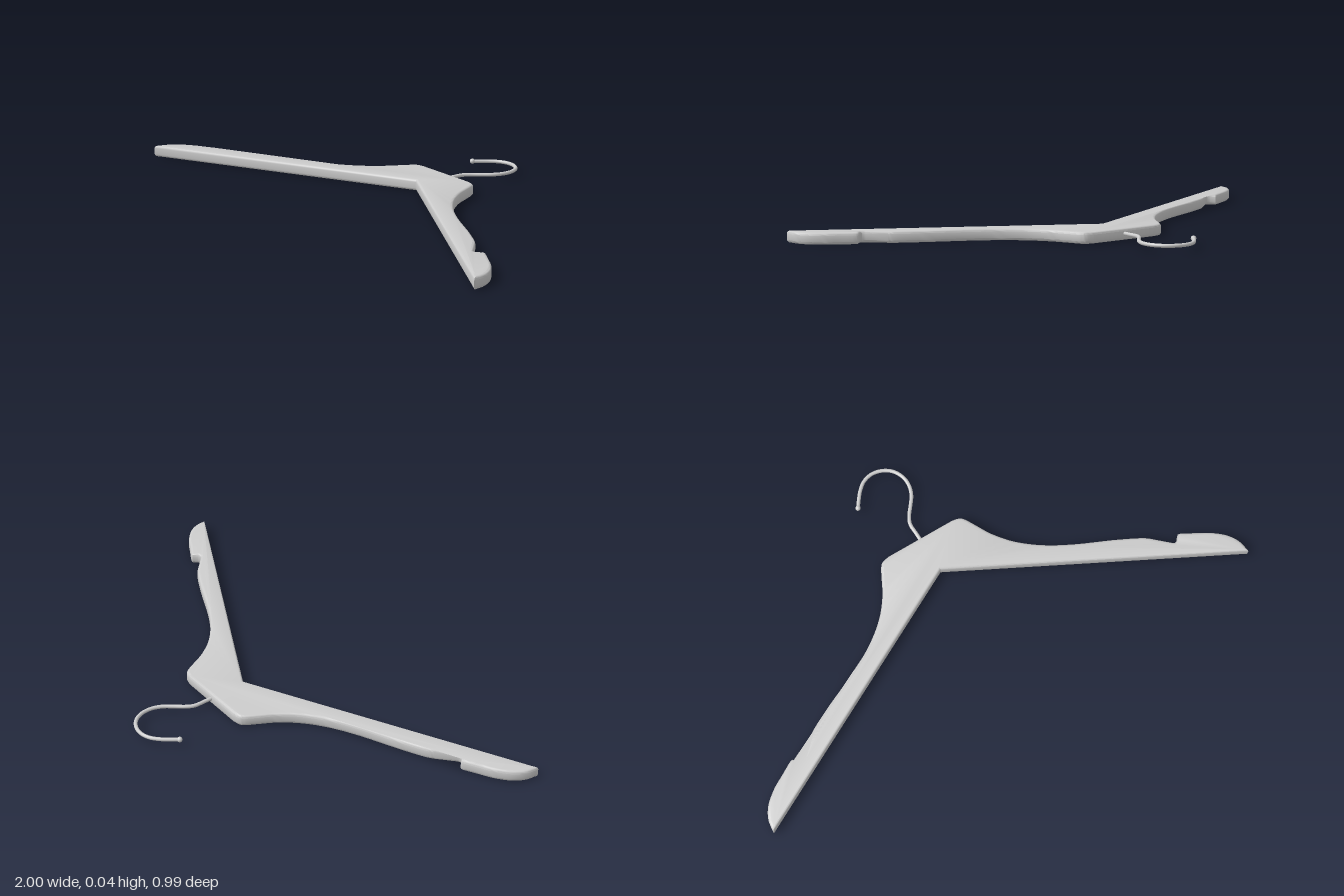
import * as THREE from 'three';
import { toCreasedNormals } from 'three/addons/utils/BufferGeometryUtils.js';

const THICK = 0.043, BEVEL = 0.01;

export function createModel() {
  const group = new THREE.Group();
  const material = new THREE.MeshStandardMaterial({ color: 0xcccccc });
  const add = (name, geometry) => {
    const mesh = new THREE.Mesh(geometry, material);
    mesh.name = name;
    group.add(mesh);
    return mesh;
  };

  // Smooth run of outline points through [x, z] pairs
  const run = (pts, n) =>
    new THREE.SplineCurve(pts.map(p => new THREE.Vector2(...p))).getPoints(n);

  // Half outline from the arm tip, over the strap notch, up to the neck
  const half = [
    ...run([[1, 0.495], [0.994, 0.448], [0.967, 0.402], [0.92, 0.362], [0.875, 0.336], [0.828, 0.309], [0.815, 0.306]], 20),
    ...run([[0.801, 0.322], [0.79, 0.328], [0.778, 0.321]], 4),
    ...run([[0.72, 0.267], [0.69, 0.246], [0.6, 0.2], [0.47, 0.14], [0.37, 0.083], [0.29, 0.018],
      [0.235, -0.05], [0.205, -0.105], [0.182, -0.148], [0.165, -0.166], [0.135, -0.173]], 40),
  ];
  const mirrored = half.map(p => new THREE.Vector2(-p.x, p.y)).reverse();
  const outline = [new THREE.Vector2(0, -0.03), ...half, ...mirrored];

  // Wooden body with rounded edges, laid flat
  const body = new THREE.ExtrudeGeometry(new THREE.Shape(outline), {
    depth: THICK - 2 * BEVEL, bevelThickness: BEVEL, bevelSize: BEVEL,
    bevelOffset: -BEVEL, bevelSegments: 3,
  });
  body.rotateX(Math.PI / 2).translate(0, THICK - BEVEL, 0);
  add('body', toCreasedNormals(body, 0.6));

  // Wire hook: straight stem, slanted neck, open loop
  const y = 0.024;
  const path = new THREE.CatmullRomCurve3([
    [0, -0.15], [0, -0.2], [0, -0.245], [0.013, -0.274], [0.04, -0.309], [0.063, -0.341],
    [0.076, -0.38], [0.074, -0.42], [0.054, -0.459], [0.018, -0.484], [-0.022, -0.491],
    [-0.06, -0.48], [-0.09, -0.455], [-0.115, -0.424], [-0.132, -0.4],
  ].map(([x, z]) => new THREE.Vector3(x, y, z)));
  add('hook', new THREE.TubeGeometry(path, 90, 0.007, 12));

  // Ball at the free end of the hook
  add('hookTip', new THREE.SphereGeometry(0.01, 16, 12)).position.set(-0.132, y, -0.4);

  return group;
}
